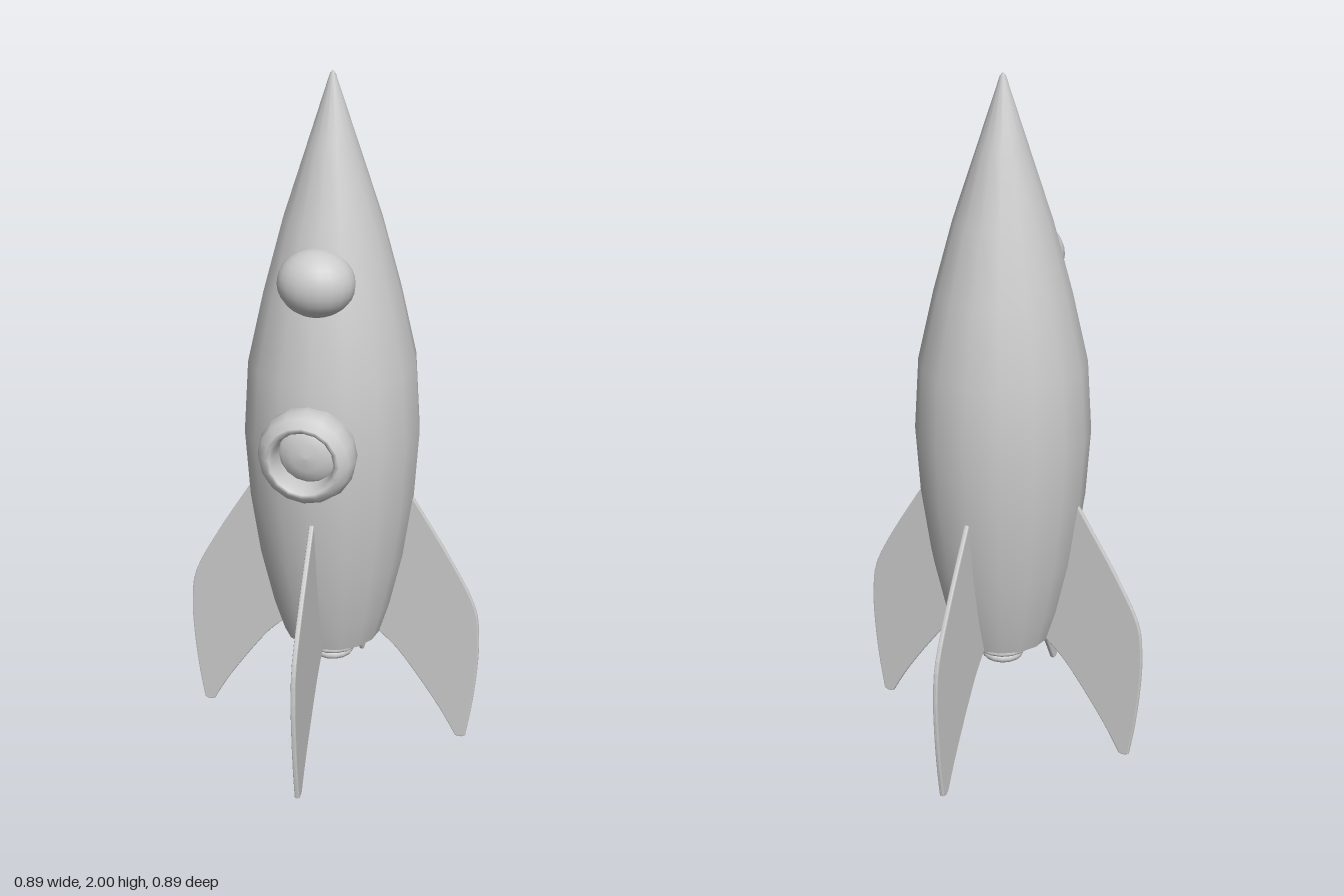
import * as THREE from 'three';

const grey = new THREE.MeshStandardMaterial({ color: 0xcccccc });
const v2 = (pts) => pts.map(([x, y]) => new THREE.Vector2(x, y));

function add(parent, name, geometry) {
  const mesh = new THREE.Mesh(geometry, grey);
  mesh.name = name;
  parent.add(mesh);
  return mesh;
}

// Lathe from [radius, height] pairs
const lathe = (pts, sides = 16) => new THREE.LatheGeometry(v2(pts), sides);

export function createModel() {
  const rocket = new THREE.Group();
  rocket.name = 'rocket';

  // Hull: sixteen-sided, smooth, pointed nose
  add(rocket, 'hull', lathe([
    [0.145, 0.34], [0.175, 0.44], [0.212, 0.61], [0.238, 0.8], [0.25, 1.0],
    [0.236, 1.21], [0.19, 1.41], [0.135, 1.61], [0.068, 1.81], [0.008, 1.99], [0, 2],
  ]));
  const base = add(rocket, 'hullBase', new THREE.CircleGeometry(0.145, 16));
  base.rotation.x = Math.PI / 2;
  base.position.y = 0.34;

  // Engine nozzle: three stacked flared rings, shrinking downwards
  const nozzle = new THREE.Group();
  nozzle.name = 'nozzle';
  rocket.add(nozzle);
  [[0.098, 0.306, 0.345], [0.088, 0.276, 0.31], [0.065, 0.24, 0.28]].forEach(([r, y0, y1], i) => {
    const h = y1 - y0;
    add(nozzle, 'nozzleRing' + (i + 1), lathe([
      [0, y0], [r * 0.6, y0 + h * 0.03], [r * 0.93, y0 + h * 0.35],
      [r, y0 + h * 0.6], [r * 0.94, y0 + h * 0.8], [r * 0.6, y1],
    ]));
  });

  // Four swept fins
  const finShape = new THREE.Shape();
  finShape.moveTo(0.1, 0.36);
  finShape.lineTo(0.145, 0.34);
  finShape.splineThru(v2([[0.2, 0.287], [0.265, 0.2], [0.335, 0.095], [0.385, 0.006]]));
  finShape.quadraticCurveTo(0.4, -0.003, 0.417, 0.008);
  finShape.splineThru(v2([[0.433, 0.12], [0.444, 0.25], [0.445, 0.36], [0.428, 0.47], [0.35, 0.62], [0.236, 0.805]]));
  finShape.lineTo(0.19, 0.78);
  const finGeometry = new THREE.ExtrudeGeometry(finShape, {
    depth: 0.006, curveSegments: 3, bevelEnabled: true,
    bevelThickness: 0.004, bevelSize: 0.004, bevelOffset: -0.004, bevelSegments: 2,
  }).translate(0, 0, -0.003);
  ['leftFin', 'backFin', 'rightFin', 'frontFin'].forEach((name, i) => {
    add(rocket, name, finGeometry).rotation.y = i * Math.PI / 2;
  });

  // Round porthole: rounded rim with a shallow domed glass inside
  const porthole = new THREE.Group();
  porthole.name = 'porthole';
  porthole.position.set(-0.005, 1.025, 0);
  rocket.add(porthole);
  const rim = add(porthole, 'portholeRim', lathe([
    [0.12, 0.19], [0.131, 0.225], [0.135, 0.265], [0.125, 0.295], [0.103, 0.314],
    [0.092, 0.314], [0.084, 0.3], [0.08, 0.27], [0.08, 0.22],
  ]));
  const glass = add(porthole, 'portholeGlass', lathe([
    [0.084, 0.25], [0.07, 0.264], [0.04, 0.276], [0, 0.28],
  ]));
  rim.rotation.x = glass.rotation.x = Math.PI / 2;

  // Upper bulging window
  const dome = add(rocket, 'upperWindow', new THREE.SphereGeometry(1, 20, 14));
  dome.scale.set(0.105, 0.091, 0.09);
  dome.position.set(-0.005, 1.477, 0.155);

  return rocket;
}
